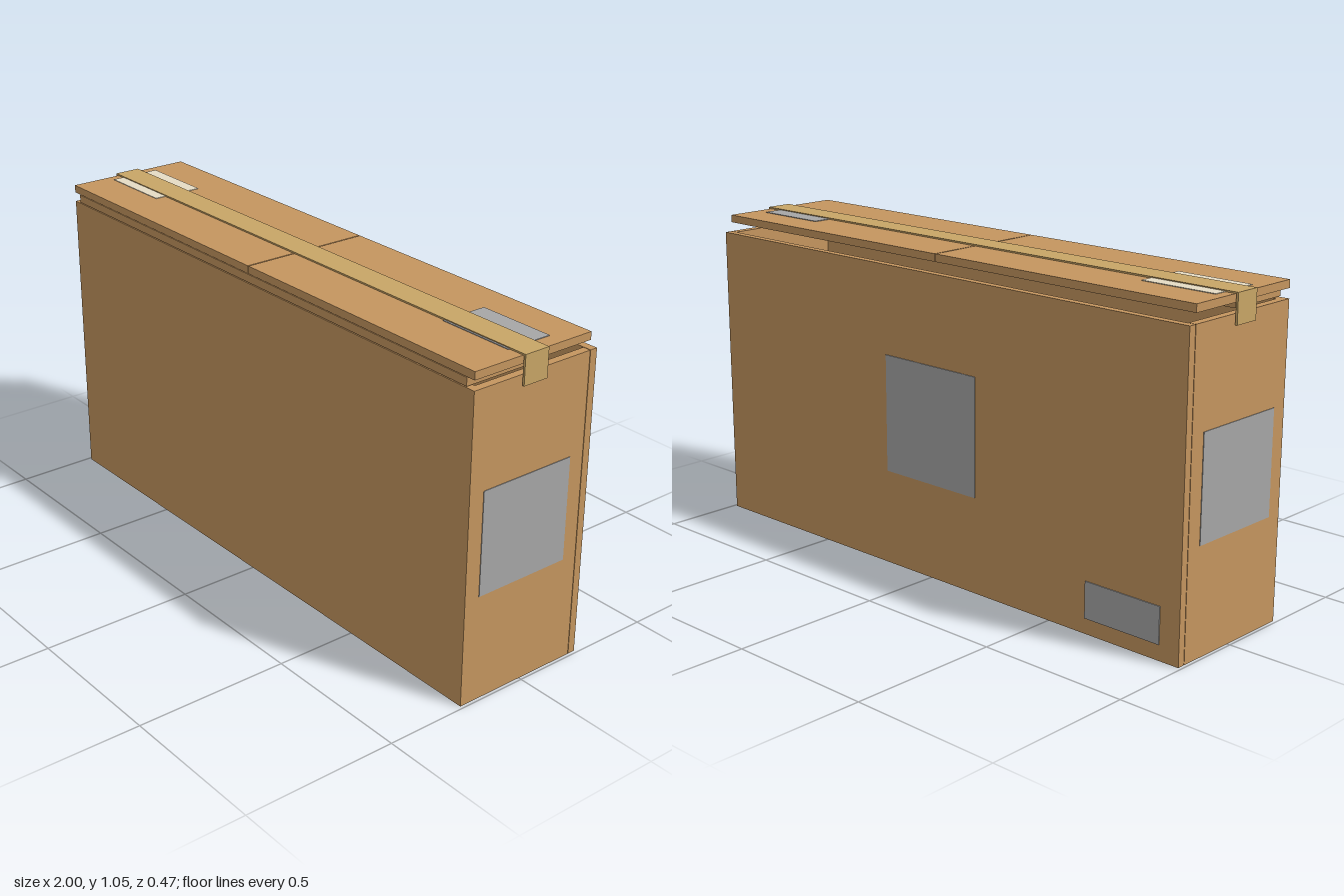
import * as THREE from 'three';

const mat = (color) => new THREE.MeshStandardMaterial({ color });

export function createModel() {
  const group = new THREE.Group();
  const board = mat(0xc4955f), tapeMat = mat(0xc8a566), grey = mat(0xa6a6a6), paper = mat(0xe6dcc4);

  // Axis-aligned slab given by its limits on each axis
  const slab = (name, material, [x0, x1], [y0, y1], [z0, z1]) => {
    const mesh = new THREE.Mesh(new THREE.BoxGeometry(x1 - x0, y1 - y0, z1 - z0), material);
    mesh.position.set((x0 + x1) / 2, (y0 + y1) / 2, (z0 + z1) / 2);
    mesh.name = name;
    group.add(mesh);
    return mesh;
  };
  // Limits along x, mirrored for the -x side
  const side = (s, a, b) => (s > 0 ? [a, b] : [-b, -a]);

  const W = 0.99, H = 0.99, F = 0.232, T = 0.026, B = -0.204;

  // Hollow carton walls
  slab('frontWall', board, [-W + T, W - T], [0, H], [F - T, F]);
  slab('backWall', board, [-W, W], [0, H], [-0.231, B - 0.002]);

  for (const s of [1, -1]) {
    const label = s > 0 ? 'left' : 'right';
    slab(label + 'Wall', board, side(s, W - T, W), [0, H], [B, F]);
    slab(label + 'BottomFlap', board, side(s, 0, W - T), [0, T], [B, F - T]);
    // Outer top flaps meet in the middle
    slab(label + 'TopFlap', board, side(s, 0.002, W), [1.021, 1.046], [B, F]);
    // Tape end folded down over the side
    slab(label + 'TapeEnd', tapeMat, side(s, 0.993, 1), [0.958, 1.051], [-0.03, 0.058]);
    slab(label + 'SideLabel', grey, side(s, W - 0.002, W + 0.002), [0.345, 0.678], [-0.152, 0.18]);
  }

  // Inner flap folded in from the front
  slab('innerFlap', board, [-0.96, 0.96], [0.993, 1.019], [0.014, F]);

  // Sealing tape along the top
  slab('topTape', tapeMat, [-1, 1], [1.046, 1.051], [-0.03, 0.058]);

  // Labels on top, partly under the tape
  slab('paperTopLabel', paper, [-0.957, -0.698], [1.044, 1.048], [-0.075, 0.096]);
  slab('greyTopLabel', grey, [0.682, 0.94], [1.044, 1.048], [-0.092, 0.064]);

  // Labels on the back
  slab('largeBackLabel', grey, [-0.195, 0.195], [0.315, 0.7], [-0.234, -0.229]);
  slab('smallBackLabel', grey, [-0.92, -0.643], [0.05, 0.167], [-0.234, -0.229]);

  return group;
}
